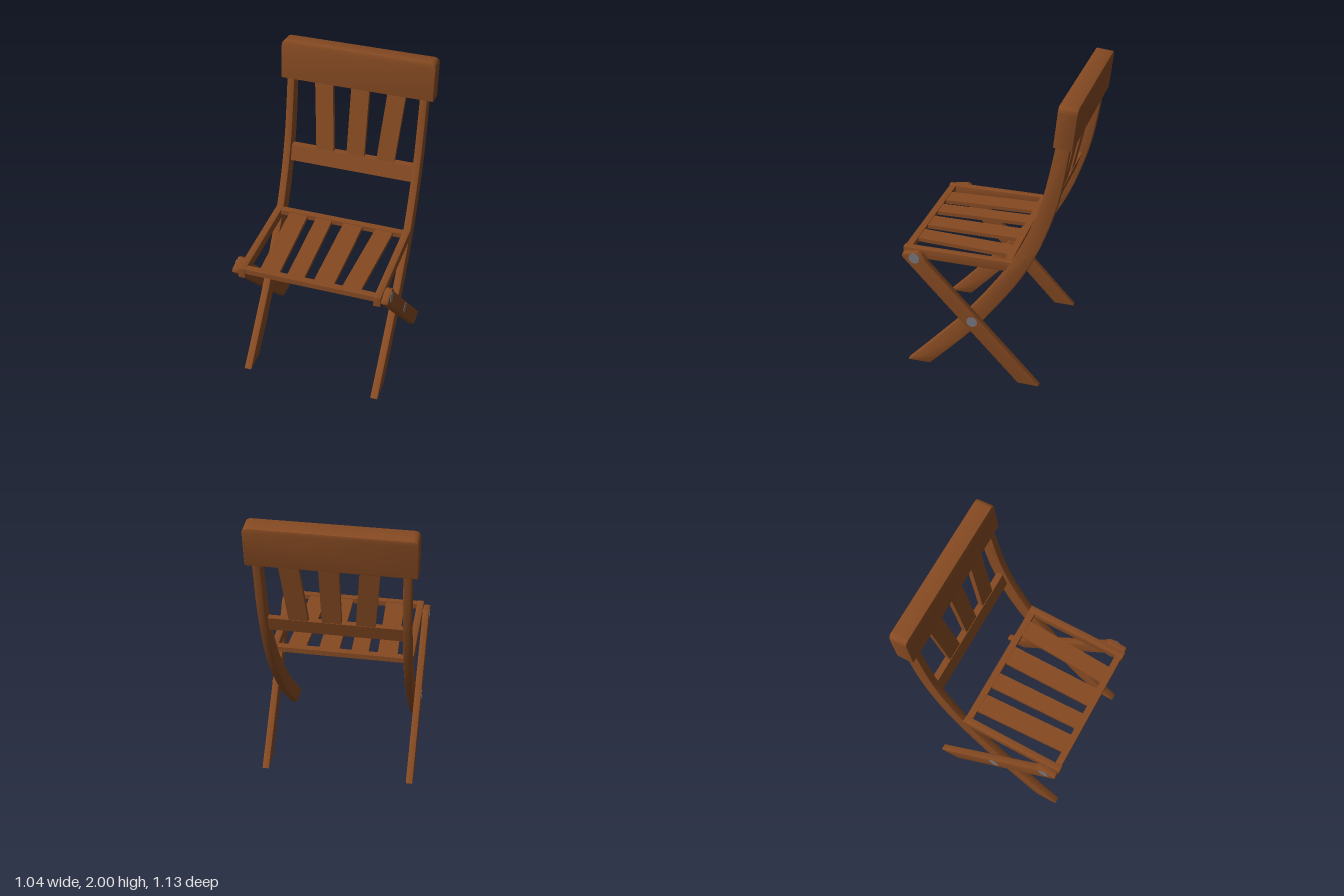
import * as THREE from 'three';
import { toCreasedNormals } from 'three/addons/utils/BufferGeometryUtils.js';

const wood = new THREE.MeshStandardMaterial({ name: 'wood', color: 0x864a22 });
const steel = new THREE.MeshStandardMaterial({ name: 'steel', color: 0x77757f });

// Extrude a shape with a small bevel kept inside the given thickness, centred on its depth
function board(shape, thickness, bevel) {
  const geo = new THREE.ExtrudeGeometry(shape, {
    depth: thickness - 2 * bevel, curveSegments: 8,
    bevelEnabled: true, bevelSize: bevel, bevelThickness: bevel, bevelOffset: -bevel, bevelSegments: 2,
  });
  geo.translate(0, 0, -(thickness - 2 * bevel) / 2);
  return toCreasedNormals(geo, 0.6);
}

// Side profile of (z, y) points, extruded along x
function sideProfile(points, thickness, bevel = 0.006) {
  const shape = new THREE.Shape(points.map(([z, y]) => new THREE.Vector2(z, y)));
  return board(shape, thickness, bevel).rotateY(-Math.PI / 2);
}

// Box whose centre and size change between two ends along one axis
function slat(axis, c0, s0, c1, s1) {
  const geo = new THREE.BoxGeometry(1, 1, 1);
  const pos = geo.attributes.position;
  for (let i = 0; i < pos.count; i++) {
    const p = [pos.getX(i), pos.getY(i), pos.getZ(i)];
    const t = p[axis] + 0.5;
    const q = p.map((v, k) => THREE.MathUtils.lerp(c0[k], c1[k], t)
      + (k === axis ? 0 : v * THREE.MathUtils.lerp(s0[k], s1[k], t)));
    pos.setXYZ(i, ...q);
  }
  geo.computeVertexNormals();
  return geo;
}

// Smooth run of points through a few (z, y) knots
function smooth(knots) {
  const curve = new THREE.SplineCurve(knots.map(([z, y]) => new THREE.Vector2(z, y)));
  return curve.getPoints(28).map((p) => [p.x, p.y]);
}

export function createModel() {
  const chair = new THREE.Group();
  chair.name = 'foldingChair';

  function add(name, geo, x = 0, y = 0, z = 0, material = wood) {
    const mesh = new THREE.Mesh(geo, material);
    mesh.name = name;
    mesh.position.set(x, y, z);
    chair.add(mesh);
    return mesh;
  }

  // Long curved legs that rise into the back posts
  const frontEdge = smooth([[0.565, 0], [0.345, 0.235], [0.125, 0.485], [-0.155, 0.885], [-0.335, 1.3], [-0.435, 1.75]]);
  const rearEdge = smooth([[0.41, 0], [0.21, 0.21], [0.02, 0.43], [-0.265, 0.85], [-0.44, 1.3], [-0.522, 1.75]]);
  const curvedLeg = sideProfile([...frontEdge, ...rearEdge.reverse()], 0.05);

  // Straight crossing legs, seat rails and pivot bolts
  const straightLeg = sideProfile([
    [-0.36, 0], [-0.22, 0], [0.535, 0.82], [0.555, 0.845], [0.55, 0.865], [0.445, 0.885], [0.42, 0.872], [0.39, 0.82],
  ], 0.046);
  const seatRail = sideProfile([[-0.17, 0.82], [0.56, 0.82], [0.56, 0.888], [-0.17, 0.888]], 0.046, 0.002);
  const bolt = new THREE.CylinderGeometry(0.036, 0.036, 0.09, 24).rotateZ(Math.PI / 2);
  for (const [side, s] of [['left', 1], ['right', -1]]) {
    add(side + 'CurvedLeg', curvedLeg, s * 0.45);
    add(side + 'StraightLeg', straightLeg, s * 0.497);
    add(side + 'SeatRail', seatRail, s * 0.45);
    add(side + 'SeatBolt', bolt, s * 0.477, 0.84, 0.47, steel);
    add(side + 'CrossBolt', bolt, s * 0.477, 0.425, 0.09, steel);
  }

  // Seat cross bars
  const seatBar = new THREE.BoxGeometry(0.88, 0.036, 0.045);
  add('seatBackBar', seatBar, 0, 0.869, -0.132);
  add('seatFrontBar', seatBar, 0, 0.869, 0.532);

  // Seat slats: back centre, front centre and width
  const seatSlats = [[-0.3, -0.275, 0.13], [-0.117, -0.1, 0.113], [0.088, 0.088, 0.133], [0.305, 0.27, 0.122]];
  seatSlats.forEach(([back, front, w], i) => {
    const size = [w, 0.026, 0];
    add('seatSlat' + (i + 1), slat(2, [back, 0.869, -0.115], size, [front, 0.869, 0.515], size));
  });

  // Lower back rail leaning with the posts
  const railSize = [0.87, 0, 0.042];
  add('backRail', slat(1, [0, 1.165, -0.342], railSize, [0, 1.27, -0.374], railSize));

  // Back slats: bottom centre, top centre
  const backSlats = [[-0.19, -0.228], [0.022, 0.022], [0.23, 0.268]];
  backSlats.forEach(([bottom, top], i) => {
    const size = [0.123, 0, 0.034];
    add('backSlat' + (i + 1), slat(1, [bottom, 1.26, -0.372], size, [top, 1.75, -0.475], size));
  });

  // Headboard with rounded upper corners
  const w = 0.515, h = 0.132, r = 0.04;
  const outline = new THREE.Shape();
  outline.moveTo(-w, -h);
  outline.lineTo(w, -h);
  outline.lineTo(w, h - r);
  outline.quadraticCurveTo(w, h, w - r, h);
  outline.lineTo(-w + r, h);
  outline.quadraticCurveTo(-w, h, -w, h - r);
  outline.closePath();
  const headboard = add('headboard', board(outline, 0.118, 0.008), 0, 1.863, -0.495);
  headboard.rotation.x = -0.105;

  return chair;
}
